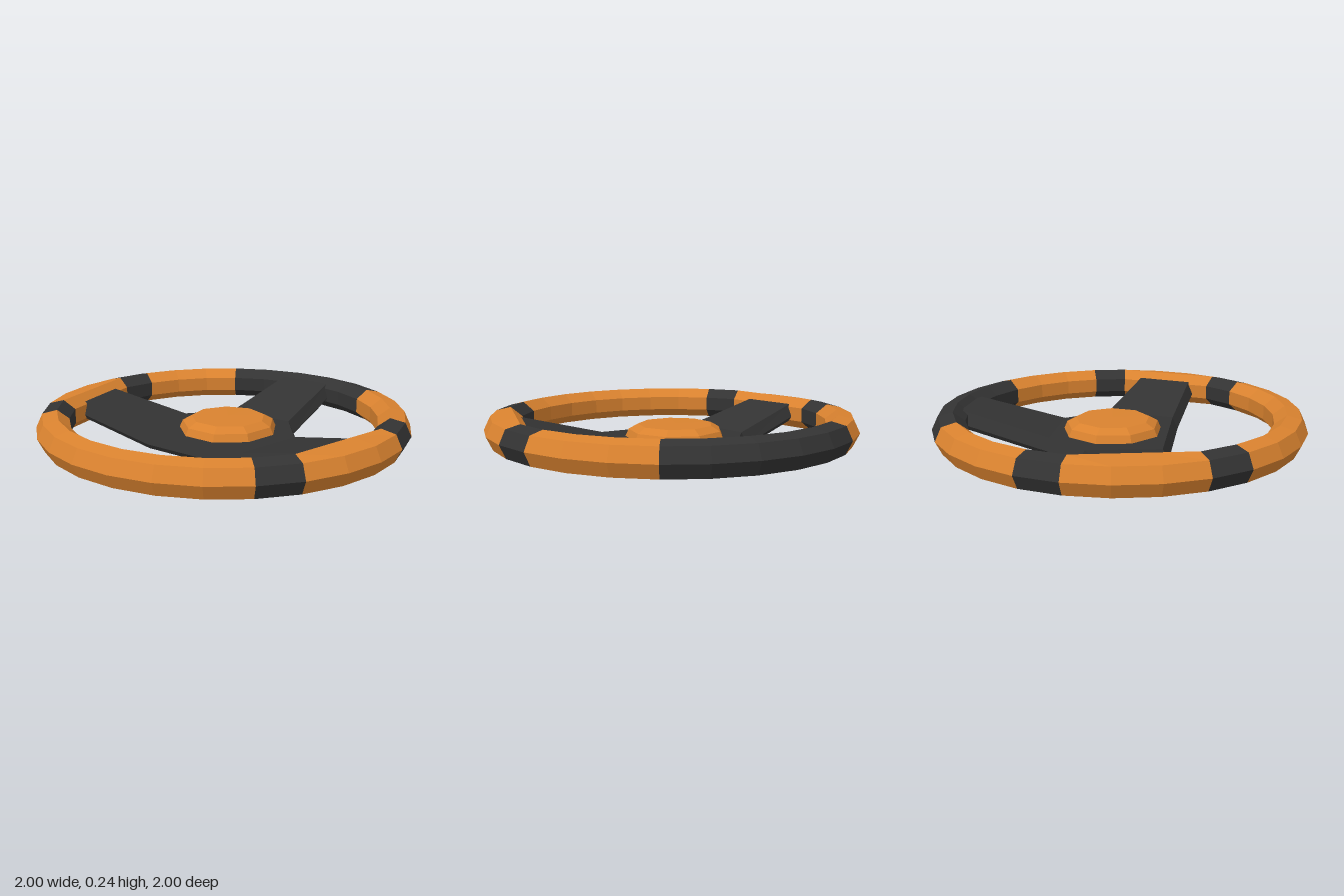
import * as THREE from 'three';

const orange = new THREE.MeshStandardMaterial({ color: 0xd9822f, flatShading: true });
const dark = new THREE.MeshStandardMaterial({ color: 0x333333, flatShading: true });

const SEGMENTS = 28, SIDES = 7;      // rim divisions: around, and in cross-section
const RIM_RADIUS = 0.914, TUBE = 0.092, RIM_Y = 0.155;
const STEP = (Math.PI * 2) / SEGMENTS;

function makeMesh(name, triangles, material) {
  const geometry = new THREE.BufferGeometry();
  geometry.setAttribute('position', new THREE.Float32BufferAttribute(triangles.flat(), 3));
  geometry.computeVertexNormals();
  const mesh = new THREE.Mesh(geometry, material);
  mesh.name = name;
  return mesh;
}

const quad = (a, b, c, d) => [a, b, c, a, c, d];

// Rim section between two division indices, counted from the back.
// With a straight inner side the inner corners lie on the chord of the section.
function rimSection(name, from, to, material, straightInside = false) {
  const middle = ((from + to) / 2 + 0.5) * STEP;
  const half = ((to - from) / 2) * STEP;
  const point = (i, k) => {
    const a = (i + 0.5) * STEP;
    const phi = (k / SIDES) * Math.PI * 2;
    let r = RIM_RADIUS + TUBE * Math.cos(phi);
    if (straightInside && Math.cos(phi) < 0) r *= Math.cos(half) / Math.cos(a - middle);
    return [r * Math.sin(a), RIM_Y + TUBE * Math.sin(phi), -r * Math.cos(a)];
  };
  const triangles = [];
  for (let i = from; i < to; i++)
    for (let k = 0; k < SIDES; k++)
      triangles.push(...quad(point(i, k), point(i, k + 1), point(i + 1, k + 1), point(i + 1, k)));
  return makeMesh(name, triangles, material);
}

// Three-spoke plate: flat in the middle, spokes rising to the rim, chamfered edges
function spokePlate() {
  const half = [[0.3, 0.296], [0.795, 0.364], [0.87, 0], [0.396, -0.15], [0.225, -0.364], [0.185, -0.88]];
  const outline = [...half, ...half.map(([x, z]) => [-x, z]).reverse()];
  const n = outline.length;
  const normal = (p, q) => {
    const l = Math.hypot(q[0] - p[0], q[1] - p[1]);
    return [-(q[1] - p[1]) / l, (q[0] - p[0]) / l];
  };
  const rise = (x, z) => 0.25 * Math.max(0, 0.977 * Math.abs(x) + 0.211 * z - 0.355, -z - 0.364);
  const loop = (inset, y) => outline.map((p, i) => {
    const a = normal(outline[(i + n - 1) % n], p);
    const b = normal(p, outline[(i + 1) % n]);
    const s = inset / (1 + a[0] * b[0] + a[1] * b[1]);
    const x = p[0] - (a[0] + b[0]) * s, z = p[1] - (a[1] + b[1]) * s;
    return [x, y + rise(x, z), z];
  });
  const loops = [loop(0.018, 0.003), loop(0, 0.03), loop(0.03, 0.097)];
  const triangles = [];
  for (let l = 0; l < 2; l++)
    for (let i = 0; i < n; i++) {
      const j = (i + 1) % n;
      triangles.push(...quad(loops[l][i], loops[l][j], loops[l + 1][j], loops[l + 1][i]));
    }
  // hub, left spoke, right spoke and back spoke faces
  for (const face of [[0, 3, 4, 7, 8, 11], [0, 1, 2, 3], [8, 9, 10, 11], [4, 5, 6, 7]])
    for (let i = 1; i < face.length - 1; i++) {
      const [a, b, c] = [face[0], face[i], face[i + 1]];
      triangles.push(loops[2][a], loops[2][b], loops[2][c]);
      triangles.push(loops[0][a], loops[0][c], loops[0][b]);
    }
  return makeMesh('spokePlate', triangles, dark);
}

export function createModel() {
  const model = new THREE.Group();
  model.name = 'steeringWheel';

  // Rim: coloured grips between dark bands
  const rim = new THREE.Group();
  rim.name = 'rim';
  rim.add(
    rimSection('backBand', -3, 2, dark),
    rimSection('leftBackGrip', 2, 5, orange),
    rimSection('leftBand', 5, 6, dark),
    rimSection('leftSideGrip', 6, 9, orange, true),
    rimSection('leftFrontBand', 9, 10, dark),
    rimSection('frontGrip', 10, 17, orange),
    rimSection('rightFrontBand', 17, 18, dark),
    rimSection('rightSideGrip', 18, 21, orange, true),
    rimSection('rightBand', 21, 22, dark),
    rimSection('rightBackGrip', 22, 25, orange),
  );
  model.add(rim, spokePlate());

  // Nine-sided centre cap
  const profile = [[0.278, 0.085], [0.255, 0.137], [0.205, 0.165], [0, 0.168]];
  const cap = new THREE.Mesh(
    new THREE.LatheGeometry(profile.map(([r, y]) => new THREE.Vector2(r, y)), 9), orange);
  cap.name = 'centreCap';
  cap.rotation.y = Math.PI;
  cap.position.z = -0.04;
  model.add(cap);

  return model;
}
